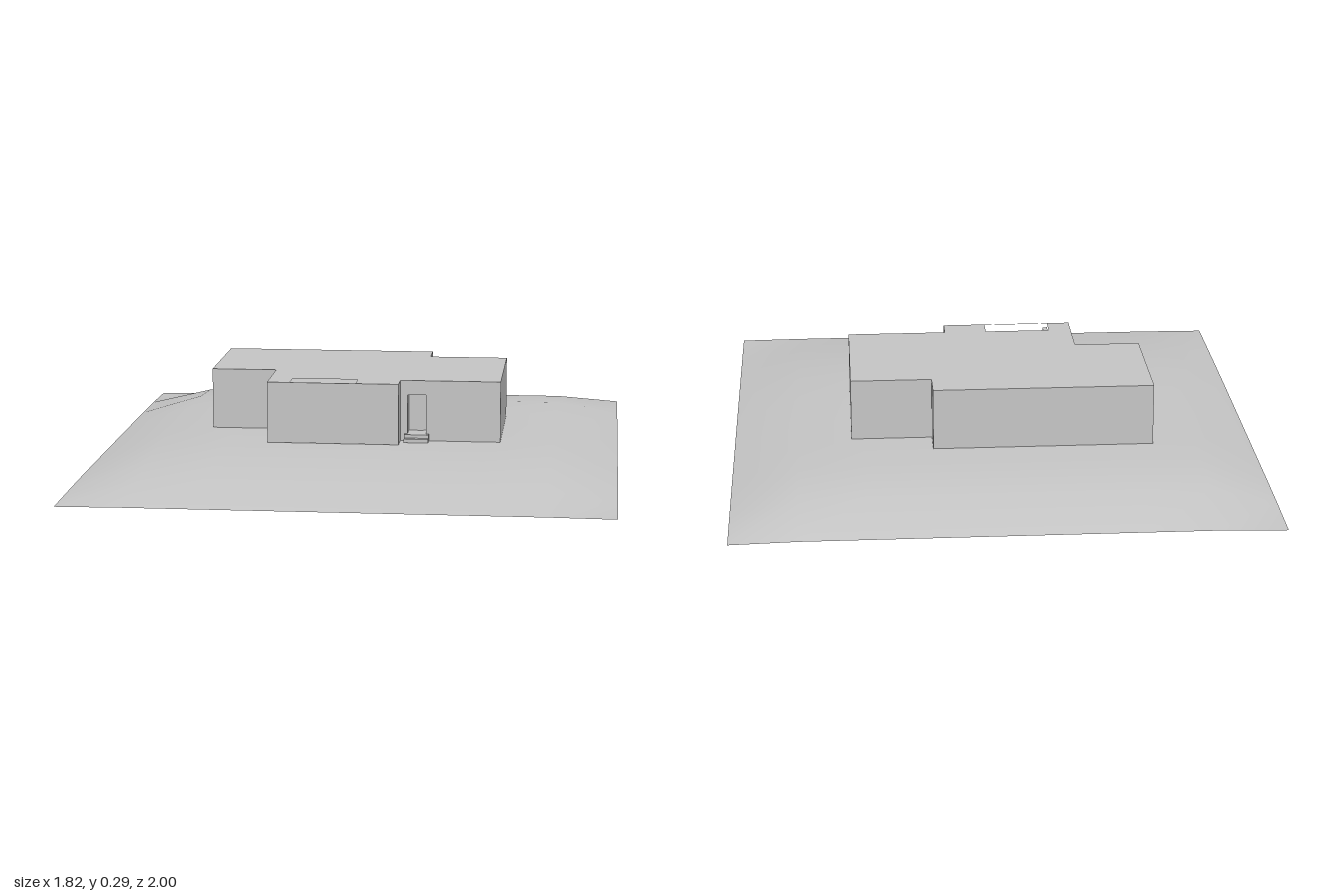
import * as THREE from 'three';

const BASE = 0.077, ROOF = 0.291, DOOR_TOP = 0.24;

// Linear lookup in a list of [position, value] pairs
function lerpTable(table, t) {
  for (let i = 1; i < table.length; i++) {
    const [a, u] = table[i - 1], [b, v] = table[i];
    if (t <= b) return THREE.MathUtils.lerp(u, v, (t - a) / (b - a));
  }
  return table[table.length - 1][1];
}

export function createModel() {
  const group = new THREE.Group();
  const grey = new THREE.MeshStandardMaterial({ color: 0xc6c6c6 });
  grey.name = 'concrete grey';
  const earth = grey.clone();
  earth.name = 'ground grey';
  earth.side = THREE.DoubleSide;

  const add = (name, geometry, material = grey) => {
    const mesh = new THREE.Mesh(geometry, material);
    mesh.name = name;
    group.add(mesh);
    return mesh;
  };
  const box = (name, x0, x1, y0, y1, z0, z1) =>
    add(name, new THREE.BoxGeometry(x1 - x0, y1 - y0, z1 - z0))
      .position.set((x0 + x1) / 2, (y0 + y1) / 2, (z0 + z1) / 2);

  // Gently mounded ground: flat in the middle, falling to the edges
  const across = [[0, 1], [0.683, 1], [0.91, 0.09]];
  const along = [[-1, 0.006], [-0.778, 0.06], [-0.556, BASE], [0.25, BASE],
    [0.333, 0.075], [0.556, 0.063], [0.778, 0.038], [1, 0.002]];
  const ground = new THREE.PlaneGeometry(1.82, 2, 8, 9).rotateX(-Math.PI / 2);
  const p = ground.attributes.position;
  for (let i = 0; i < p.count; i++) {
    p.setY(i, lerpTable(across, Math.abs(p.getX(i))) * lerpTable(along, p.getZ(i)));
  }
  ground.computeVertexNormals();
  add('ground', ground, earth);

  // Footprint slab with an open stairwell; points are (x, z)
  const footprint = (doorNotch) => {
    const pts = [[-0.54, -0.4], [0.22, -0.4], [0.22, -0.29], [0.5, -0.29], [0.5, 0.205]];
    if (doorNotch) pts.push([0.24, 0.205], [0.24, 0.14], [0.175, 0.14], [0.175, 0.205]);
    pts.push([0.15, 0.205], [0.15, 0.284], [-0.31, 0.284], [-0.31, 0.04], [-0.54, 0.04]);
    const shape = new THREE.Shape(pts.map(([x, z]) => new THREE.Vector2(x, -z)));
    const well = [[-0.23, 0.205], [0, 0.205], [0, 0.279], [-0.23, 0.279]];
    shape.holes.push(new THREE.Path(well.map(([x, z]) => new THREE.Vector2(x, -z))));
    return shape;
  };
  const storey = (name, y0, y1, notch) => {
    const g = new THREE.ExtrudeGeometry(footprint(notch), { depth: y1 - y0, bevelEnabled: false });
    add(name, g.rotateX(-Math.PI / 2).translate(0, y0, 0));
  };
  storey('lowerWalls', BASE, DOOR_TOP, true);
  storey('upperWallsAndRoof', DOOR_TOP, ROOF, false);

  // Stair flight inside the well, climbing towards -x
  const steps = 14, run = 0.23 / steps, rise = (ROOF - BASE) / (steps + 1);
  for (let i = 0; i < steps; i++) {
    box('stairStep', -(i + 1) * run, -i * run, BASE, BASE + (i + 1) * rise, 0.205, 0.279);
  }

  // Doorway floor and the two entrance steps
  box('doorFloor', 0.175, 0.24, BASE, 0.102, 0.14, 0.205);
  box('upperEntranceStep', 0.165, 0.25, BASE, 0.102, 0.205, 0.226);
  box('lowerEntranceStep', 0.165, 0.25, BASE, 0.09, 0.226, 0.244);
  // Inner door leaf at the back of the recess
  box('doorLeaf', 0.186, 0.226, 0.102, DOOR_TOP, 0.14, 0.145);

  return group;
}
